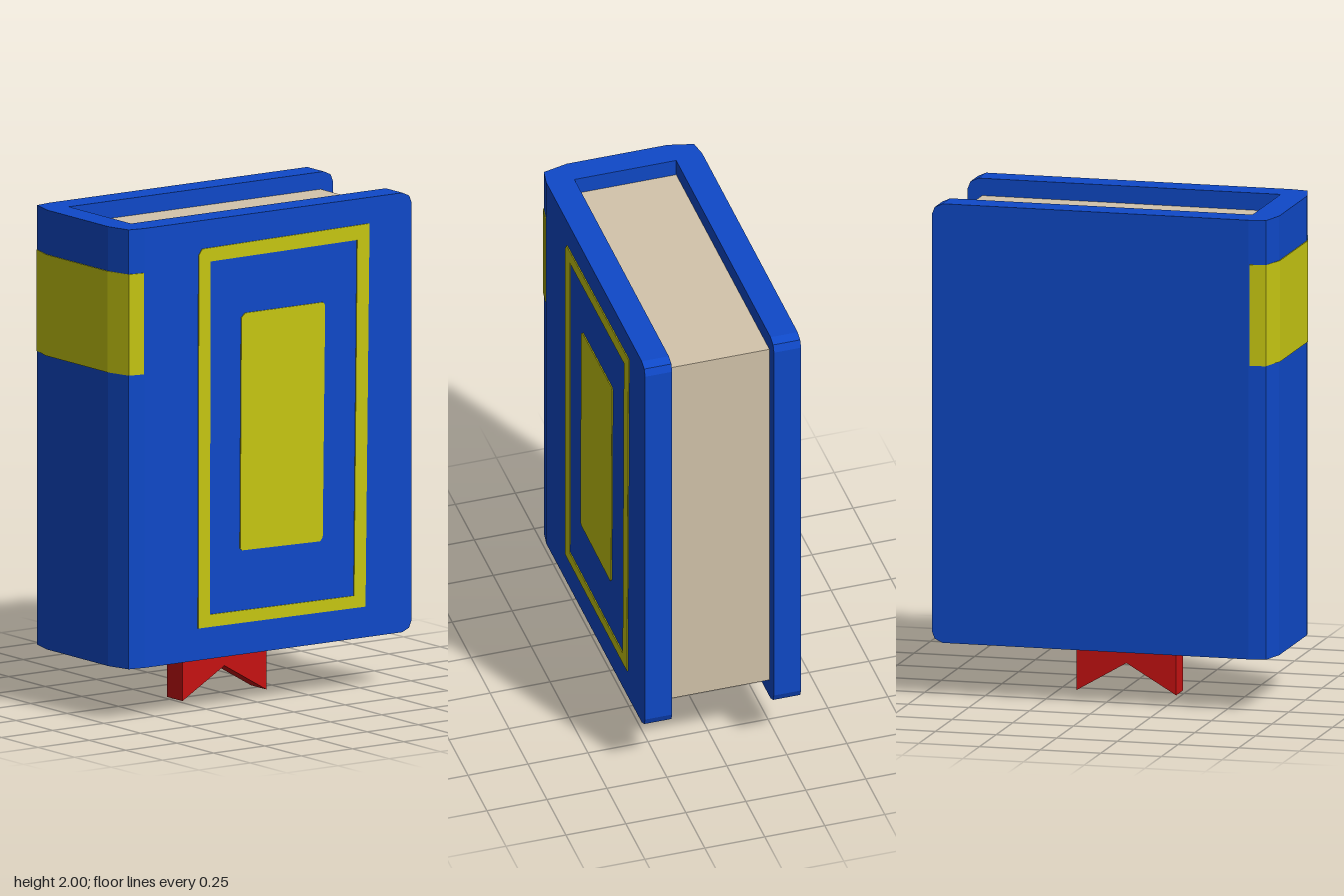
import * as THREE from 'three';

const mat = (name, color) => {
  const m = new THREE.MeshStandardMaterial({ color });
  m.name = name;
  return m;
};

const polygon = (points) => new THREE.Shape(points.map(([x, y]) => new THREE.Vector2(x, y)));
const extrude = (shape, depth) => new THREE.ExtrudeGeometry(shape, { depth, bevelEnabled: false });

export function createModel() {
  const blue = mat('cover blue', 0x0f49c8);
  const gold = mat('gold trim', 0xc6c612);
  const cream = mat('page cream', 0xd3c4ab);
  const red = mat('ribbon red', 0xc61212);

  const group = new THREE.Group();
  group.name = 'book';
  const add = (name, geometry, material, x = 0, y = 0, z = 0) => {
    const mesh = new THREE.Mesh(geometry, material);
    mesh.name = name;
    mesh.position.set(x, y, z);
    group.add(mesh);
    return mesh;
  };

  const bottom = 0.22, top = 2, half = 0.325, inner = 0.212, hinge = -0.59;

  // Cover boards with clipped corners on the opening edge
  const board = polygon([
    [hinge, bottom], [0.655, bottom], [0.688, 0.235], [0.7, 0.265],
    [0.7, 1.955], [0.688, 1.985], [0.655, top], [hinge, top],
  ]);
  const boardGeometry = extrude(board, half - inner);
  add('frontCover', boardGeometry, blue, 0, 0, inner);
  add('backCover', boardGeometry, blue, 0, 0, -half);

  // Plan of the faceted spine, pushed outwards by d and closed at x = end
  const spinePlan = (d, end) => polygon([
    [end, half + d], [-0.605, half + d], [-0.674 - d, 0.313 + d], [-0.7 - d, 0.21],
    [-0.7 - d, -0.21], [-0.674 - d, -0.313 - d], [-0.605, -half - d], [end, -half - d],
  ]);
  const upright = (shape, height) => extrude(shape, height).rotateX(-Math.PI / 2);
  add('spine', upright(spinePlan(0, hinge), top - bottom), blue, 0, bottom, 0);

  // Gold band wrapped round the spine
  const bandPlan = polygon([
    [-0.61, half + 0.003], [-0.674, 0.317], [-0.704, 0.21],
    [-0.704, -0.21], [-0.674, -0.317], [-0.61, -half - 0.003],
  ]);
  add('spineBand', upright(bandPlan, 0.41), gold, 0, 1.41, 0);

  // Page block, recessed inside the cover
  add('pages', new THREE.BoxGeometry(1.23, 1.63, inner * 2), cream, 0.025, 1.115, 0);

  // Gold frame and panel on the front cover
  const frame = polygon([[-0.345, 0.35], [0.472, 0.345], [0.492, 1.895], [-0.325, 1.885], [-0.342, 1.86]]);
  frame.holes.push(polygon([[-0.288, 0.40], [-0.285, 1.83], [0.432, 1.835], [0.416, 0.395]]));
  add('coverFrame', extrude(frame, 0.004), gold, 0, 0, half);

  const panel = polygon([
    [-0.14, 0.65], [-0.13, 0.642], [0.25, 0.635], [0.263, 0.65],
    [0.275, 1.59], [0.265, 1.602], [-0.115, 1.602], [-0.134, 1.585],
  ]);
  add('coverPanel', extrude(panel, 0.004), gold, 0, 0, half);

  // Swallow-tailed bookmark ribbon below the pages
  const ribbon = polygon([[-0.23, 0], [-0.025, 0.12], [0.18, 0], [0.18, 0.31], [-0.23, 0.31]]);
  add('bookmark', extrude(ribbon, 0.105), red, 0, 0, -0.045);

  return group;
}
